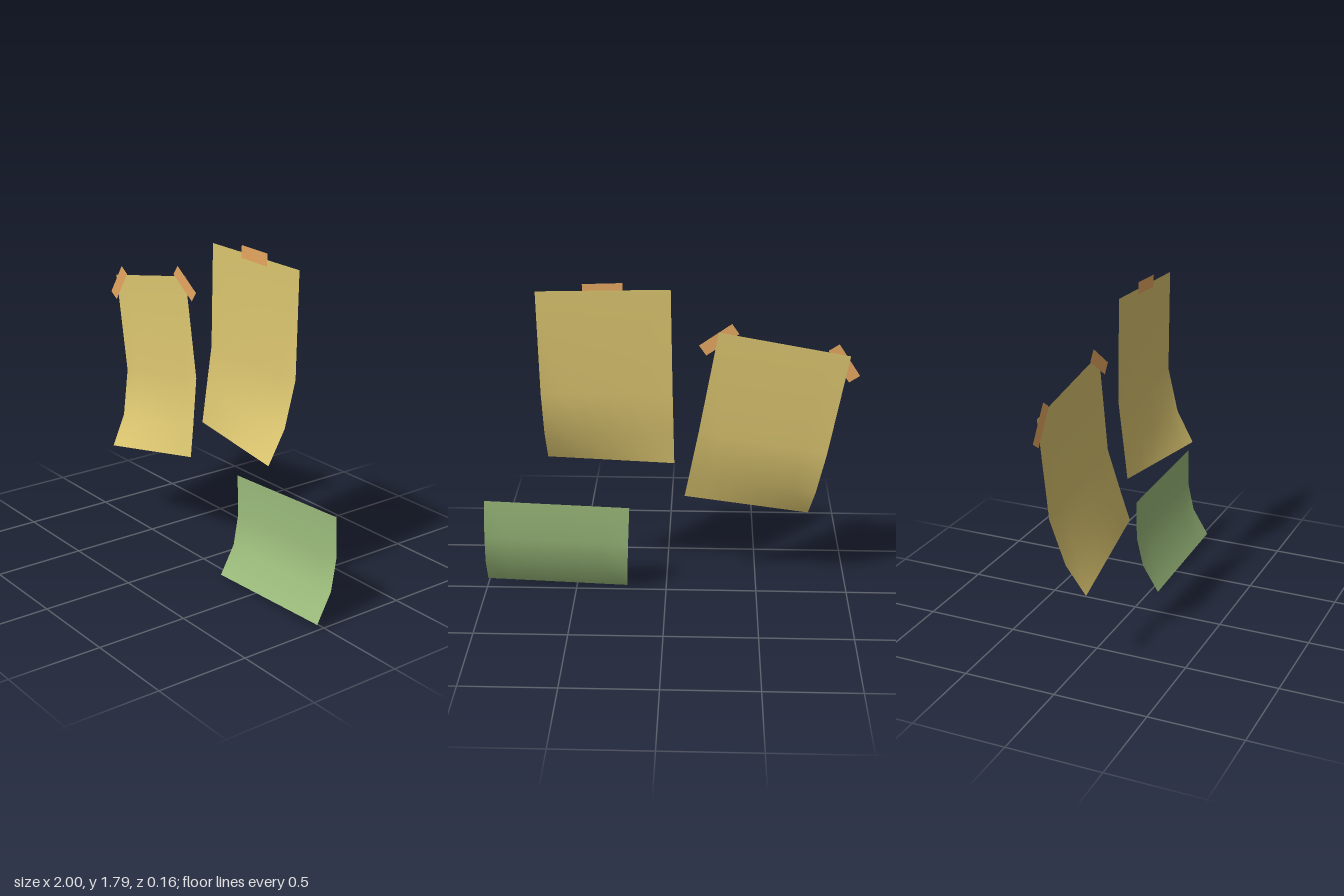
import * as THREE from 'three';

const BACK = -0.08;

const paint = (color) => new THREE.MeshStandardMaterial({ color, side: THREE.DoubleSide });

// A sheet of paper hanging flat on the wall plane, its lower rows curling forward.
// corner: bottom-left [x, y]; across, up: edge vectors;
// rows: [fraction of height, z at left edge, z at right edge], top to bottom.
function makeSheet(name, material, corner, across, up, rows) {
  const columns = 6;
  const geometry = new THREE.PlaneGeometry(1, 1, columns, rows.length - 1);
  const position = geometry.attributes.position;
  rows.forEach(([t, zLeft, zRight], r) => {
    for (let c = 0; c <= columns; c++) {
      const s = c / columns;
      position.setXYZ(
        r * (columns + 1) + c,
        corner[0] + across[0] * s + up[0] * t,
        corner[1] + across[1] * s + up[1] * t,
        THREE.MathUtils.lerp(zLeft, zRight, s)
      );
    }
  });
  geometry.computeVertexNormals();
  const mesh = new THREE.Mesh(geometry, material);
  mesh.name = name;
  return mesh;
}

// A short flat strip of tape just in front of the paper.
function makeTape(name, material, x, y, degrees) {
  const mesh = new THREE.Mesh(new THREE.PlaneGeometry(0.204, 0.066), material);
  mesh.position.set(x, y, BACK + 0.003);
  mesh.rotation.z = THREE.MathUtils.degToRad(degrees);
  mesh.name = name;
  return mesh;
}

export function createModel() {
  const group = new THREE.Group();
  group.name = 'tapedNotes';
  const yellow = paint(0xdcc670);
  const green = paint(0x9aba7a);
  const tape = paint(0xe8a862);

  // Paper sheets
  group.add(
    makeSheet('tiltedSheet', yellow, [-0.775, 0.455], [0.675, 0.12], [-0.171, 0.962], [
      [1, BACK, BACK], [0.43, BACK, BACK], [0.17, -0.02, -0.026], [0, 0.075, 0.012],
    ]),
    makeSheet('uprightSheet', yellow, [-0.045, 0.785], [0.686, -0.015], [0.019, 0.975], [
      [1, BACK, BACK], [0.43, BACK, BACK], [0.18, -0.048, -0.02], [0, -0.026, 0.077],
    ]),
    makeSheet('greenSheet', green, [0.217, 0.002], [0.783, 0.031], [-0.022, 0.539], [
      [1, BACK, BACK], [0.59, BACK, BACK], [0.28, -0.045, -0.045], [0, 0.045, 0.045],
    ])
  );

  // Tape strips
  group.add(
    makeTape('leftCornerTape', tape, -0.914, 1.377, 56.5),
    makeTape('rightCornerTape', tape, -0.273, 1.497, -35),
    makeTape('topTape', tape, 0.318, 1.755, -2)
  );
  return group;
}
